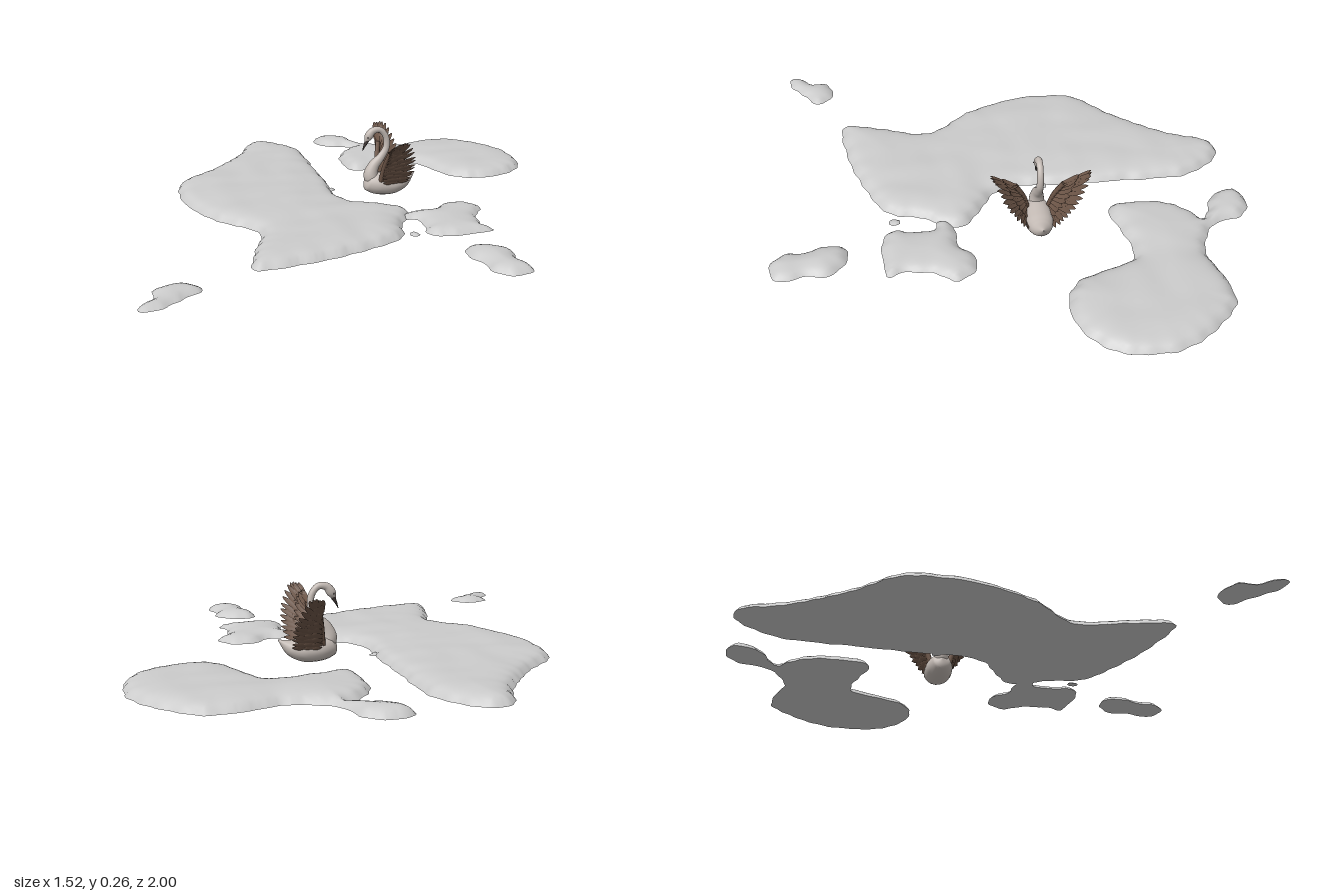
import * as THREE from 'three';

const mat = (color, side = THREE.FrontSide) => new THREE.MeshStandardMaterial({ color, side });
const grey = mat(0xcccccc);
const plumage = mat(0xc4bbb5);
const brown = mat(0x6b5446, THREE.DoubleSide);
const dark = mat(0x3a3230);
const V = (x, y, z) => new THREE.Vector3(x, y, z);

function mesh(name, geometry, material) {
  const m = new THREE.Mesh(geometry, material);
  m.name = name;
  return m;
}

function buffer(positions, index) {
  const g = new THREE.BufferGeometry();
  g.setAttribute('position', new THREE.Float32BufferAttribute(positions, 3));
  g.setIndex(index);
  g.computeVertexNormals();
  return g;
}

// Low rounded slab with a flat underside, gridded inside a smooth closed outline of x, z pairs
const BASE = 0.02, CELL = 0.012;
function slab(name, height, outline) {
  const ctrl = [];
  for (let i = 0; i < outline.length; i += 2) ctrl.push(V(outline[i], 0, outline[i + 1]));
  const edge = new THREE.CatmullRomCurve3(ctrl, true).getPoints(ctrl.length * 9);
  edge.pop();
  edge.forEach(p => {
    const { x, z } = p;
    p.x += 0.003 * Math.sin(z * 95 + x * 20);
    p.z += 0.003 * Math.sin(x * 90 - z * 25);
  });
  // nearest edge point and signed distance (positive inside)
  const probe = (x, z) => {
    let best = Infinity, bx = 0, bz = 0, inside = false;
    edge.forEach((a, i) => {
      const b = edge[(i + 1) % edge.length], dx = b.x - a.x, dz = b.z - a.z;
      const t = THREE.MathUtils.clamp(((x - a.x) * dx + (z - a.z) * dz) / (dx * dx + dz * dz + 1e-12), 0, 1);
      const px = a.x + t * dx, pz = a.z + t * dz, d = Math.hypot(x - px, z - pz);
      if (d < best) { best = d; bx = px; bz = pz; }
      if ((a.z > z) !== (b.z > z) && x < a.x + (z - a.z) * dx / dz) inside = !inside;
    });
    return { d: inside ? best : -best, x: bx, z: bz };
  };
  const box = new THREE.Box3().setFromPoints(edge).expandByScalar(CELL);
  const nx = Math.ceil((box.max.x - box.min.x) / CELL) + 1;
  const nz = Math.ceil((box.max.z - box.min.z) / CELL) + 1;
  const top = [], bottom = [], ids = [], index = [];
  for (let k = 0; k < nz; k++) for (let i = 0; i < nx; i++) {
    let x = box.min.x + i * CELL, z = box.min.z + k * CELL;
    const e = probe(x, z);
    if (e.d < -CELL / 2) { ids.push(-1); continue; }
    let d = e.d;
    if (d < CELL / 2) { x = e.x; z = e.z; d = 0; }
    // steep shore, then a slow rise with faint lumps
    const rise = 0.65 * (1 - Math.exp(-d / 0.016)) + 0.35 * (1 - Math.exp(-d / 0.06));
    const lumps = 1 + 0.03 * Math.sin(x * 31 + 2 * Math.sin(z * 17)) + 0.03 * Math.sin(z * 27 + 2 * Math.sin(x * 19));
    ids.push(top.length / 3);
    top.push(x, BASE + height * lumps * rise, z);
    bottom.push(x, BASE, z);
  }
  const n = top.length / 3;
  const tri = (a, b, c) => {
    if (Math.min(a, b, c) >= 0) index.push(a, b, c, n + a, n + c, n + b);
  };
  for (let k = 0; k < nz - 1; k++) for (let i = 0; i < nx - 1; i++) {
    const a = ids[k * nx + i], b = ids[k * nx + i + 1];
    const c = ids[(k + 1) * nx + i], d = ids[(k + 1) * nx + i + 1];
    if (a < 0 || d < 0) { tri(a, c, b); tri(b, c, d); }
    else { tri(a, c, d); tri(a, d, b); }
  }
  return mesh(name, buffer(top.concat(bottom), index), grey);
}

// Smooth elliptical loft in the x = 0 plane; stations are [z, y, halfWidth, halfHeight]
function loft(stations, steps = 40, sides = 20) {
  const path = new THREE.CatmullRomCurve3(stations.map(s => V(0, s[1], s[0])));
  const size = new THREE.CatmullRomCurve3(stations.map((s, i) => V(s[2], s[3], i * 0.02)));
  const pos = [], index = [];
  for (let i = 0; i <= steps; i++) {
    const c = path.getPoint(i / steps), r = size.getPoint(i / steps);
    const up = path.getTangent(i / steps).cross(V(1, 0, 0));
    for (let j = 0; j < sides; j++) {
      const a = j / sides * Math.PI * 2;
      const p = c.clone().addScaledVector(up, Math.sin(a) * r.y);
      pos.push(p.x + Math.cos(a) * r.x, p.y, p.z);
      if (i === steps) continue;
      const k = i * sides + j, l = i * sides + (j + 1) % sides;
      index.push(k, l, k + sides, l, l + sides, k + sides);
    }
  }
  return buffer(pos, index);
}

// Thin curved feather blade, ridged along its middle
function feather(root, tip, normal, width) {
  const mid = root.clone().lerp(tip, 0.55).addScaledVector(normal, 0.008);
  const curve = new THREE.QuadraticBezierCurve3(root, mid, tip);
  const pos = [], index = [], steps = 10;
  for (let i = 0; i <= steps; i++) {
    const t = i / steps, c = curve.getPoint(t);
    const w = normal.clone().cross(curve.getTangent(t)).normalize();
    const half = width * (0.45 + 0.55 * Math.sin(Math.PI * t * 0.8)) * Math.sqrt(1 - t ** 4 * 0.97);
    [-1, 0, 1].forEach(s => pos.push(...c.clone().addScaledVector(w, s * half)
      .addScaledVector(normal, s ? 0 : 0.0025).toArray()));
    if (i === steps) continue;
    for (let j = 0; j < 2; j++) {
      const a = i * 3 + j;
      index.push(a, a + 1, a + 3, a + 1, a + 4, a + 3);
    }
  }
  return buffer(pos, index);
}

function wing(side) {
  const g = new THREE.Group();
  g.name = side > 0 ? 'leftWing' : 'rightWing';
  const at = (x, y, z) => V(side * x, y, z);
  // arm along the leading edge, and the line the feather tips follow
  const arm = new THREE.CatmullRomCurve3([at(0.032, 0.055, 0.035), at(0.05, 0.12, 0.026), at(0.08, 0.18, 0.012)]);
  const tips = new THREE.CatmullRomCurve3([at(0.045, 0.062, -0.07), at(0.085, 0.115, -0.075),
    at(0.125, 0.175, -0.066), at(0.154, 0.235, -0.032), at(0.163, 0.234, 0.002)]);
  const normal = V(side * 0.85, -0.5, 0).normalize();
  g.add(mesh('wingArm', new THREE.TubeGeometry(arm, 16, 0.009, 8), brown));
  // long flight feathers, then shorter coverts on both faces: name, count, reach, lift
  const layers = [['flightFeather', 15, 1, 0], ['covert', 12, 0.65, 0.004],
    ['covert', 10, 0.4, 0.007], ['innerCovert', 11, 0.6, -0.005]];
  for (const [name, count, reach, lift] of layers) {
    for (let i = 0; i < count; i++) {
      const t = i / (count - 1);
      const root = arm.getPoint(t).addScaledVector(normal, lift);
      const tip = tips.getPoint(t).addScaledVector(normal, lift + (i % 2) * 0.003);
      g.add(mesh(name, feather(root, root.clone().lerp(tip, reach), normal, 0.0115), brown));
    }
  }
  return g;
}

function swan() {
  const g = new THREE.Group();
  g.name = 'swan';
  g.add(mesh('body', loft([[0.088, 0.06, 0.001, 0.001], [0.074, 0.054, 0.03, 0.032], [0.035, 0.046, 0.046, 0.041],
    [-0.02, 0.043, 0.047, 0.039], [-0.06, 0.052, 0.034, 0.028], [-0.105, 0.08, 0.001, 0.001]]), plumage));
  g.add(mesh('neckAndHead', loft([[0.04, 0.04, 0.025, 0.025], [0.062, 0.075, 0.026, 0.027], [0.052, 0.112, 0.02, 0.021],
    [0.024, 0.145, 0.014, 0.015], [0.004, 0.18, 0.012, 0.012], [0.006, 0.22, 0.011, 0.011], [0.028, 0.247, 0.011, 0.011],
    [0.055, 0.245, 0.012, 0.013], [0.072, 0.224, 0.013, 0.015], [0.084, 0.197, 0.001, 0.001]], 60), plumage));
  g.add(mesh('beak', loft([[0.077, 0.21, 0.008, 0.008], [0.087, 0.19, 0.006, 0.004],
    [0.094, 0.173, 0.001, 0.001]], 12, 12), dark));
  for (const s of [1, -1]) {
    const eye = mesh('eye', new THREE.SphereGeometry(0.0025, 10, 8), dark);
    eye.position.set(s * 0.012, 0.222, 0.077);
    g.add(eye, wing(s));
  }
  g.position.set(0.008, 0, -0.295);
  g.rotation.y = -Math.PI / 4;
  return g;
}

export function createModel() {
  const model = new THREE.Group();
  model.add(slab('mainIsland', 0.036, [-0.76, -0.5, -0.715, -0.562, -0.55, -0.545, -0.46, -0.475, -0.37, -0.385,
    -0.2, -0.22, -0.11, -0.12, -0.02, -0.08, 0.08, -0.1, 0.19, -0.105, 0.24, 0.03, 0.29, 0.13, 0.23, 0.32, 0.14, 0.48,
    0.035, 0.595, -0.045, 0.48, -0.13, 0.33, -0.34, 0.3, -0.55, 0.2, -0.675, 0.05, -0.675, -0.13, -0.71, -0.37]));
  model.add(slab('backIsland', 0.034, [-0.09, -0.985, -0.01, -0.998, 0.16, -0.975, 0.265, -0.9, 0.325, -0.79,
    0.31, -0.675, 0.24, -0.585, 0.15, -0.56, 0.055, -0.595, -0.05, -0.635, -0.115, -0.57, -0.16, -0.49, -0.21, -0.43,
    -0.34, -0.54, -0.37, -0.64, -0.365, -0.71, -0.41, -0.7, -0.49, -0.67, -0.57, -0.71, -0.53, -0.785, -0.46, -0.8,
    -0.36, -0.75, -0.22, -0.805, -0.165, -0.9]));
  model.add(slab('leftIslet', 0.028, [0.2, -0.085, 0.26, -0.155, 0.27, -0.24, 0.33, -0.28, 0.395, -0.26, 0.41, -0.185,
    0.47, -0.11, 0.52, -0.08, 0.48, -0.03, 0.425, 0.035, 0.35, 0.058, 0.3, -0.015, 0.25, -0.045, 0.21, -0.03]));
  model.add(slab('farLeftIslet', 0.029, [0.51, 0.105, 0.58, 0.06, 0.645, 0.07, 0.69, 0.125, 0.755, 0.165, 0.738, 0.235,
    0.67, 0.252, 0.61, 0.205, 0.535, 0.165]));
  model.add(slab('frontIslet', 0.023, [-0.105, 0.8, -0.05, 0.775, -0.01, 0.79, -0.018, 0.87, -0.032, 0.965, -0.065, 0.995,
    -0.095, 0.965, -0.088, 0.915, -0.128, 0.87]));
  // two tiny round floes
  for (const [x, z] of [[-0.165, -0.18], [0.31, 0.08]]) {
    model.add(slab('pebble', 0.018, [x + 0.02, z, x, z + 0.02, x - 0.02, z, x, z - 0.02]));
  }
  model.add(swan());
  return model;
}
